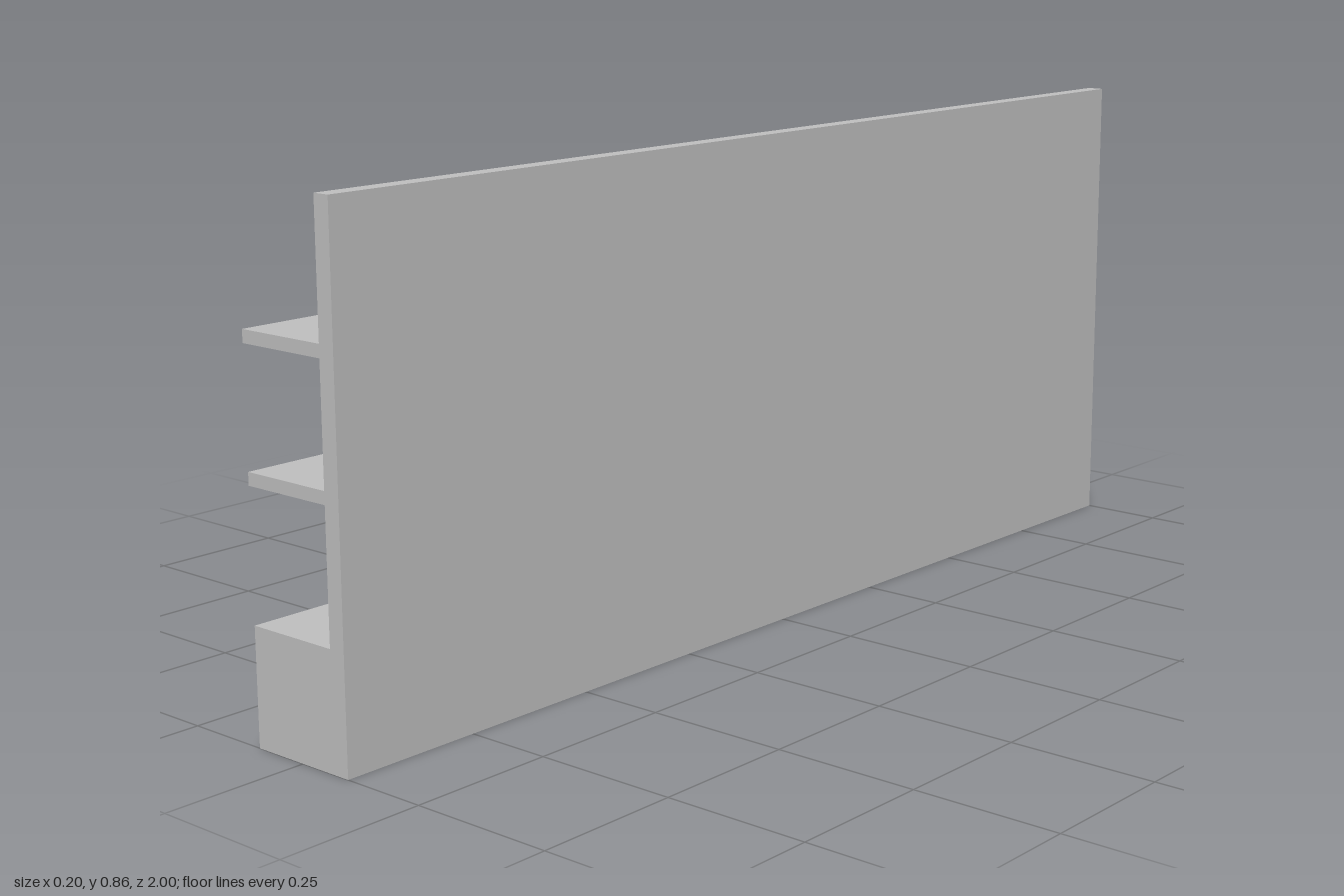
import * as THREE from 'three';

const LENGTH = 2;
const FRONT = -0.1;   // open edge of base and shelves
const PANEL = 0.07;   // inner face of the back panel
const BACK = 0.1;     // outer face of the back panel
const HEIGHT = 0.857;
const BASE_TOP = 0.193;
const SHELVES = [[0.408, 0.429], [0.622, 0.643]]; // underside, top

export function createModel() {
  const group = new THREE.Group();
  group.name = 'shelfUnit';

  const grey = new THREE.MeshStandardMaterial({ color: 0xc0c0c0 });
  grey.name = 'light grey';

  // Cross-section: base block, upright panel and two cantilevered shelves
  const profile = new THREE.Shape();
  profile.moveTo(FRONT, 0);
  profile.lineTo(BACK, 0);
  profile.lineTo(BACK, HEIGHT);
  profile.lineTo(PANEL, HEIGHT);
  for (const [under, top] of [...SHELVES].reverse()) {
    profile.lineTo(PANEL, top);
    profile.lineTo(FRONT, top);
    profile.lineTo(FRONT, under);
    profile.lineTo(PANEL, under);
  }
  profile.lineTo(PANEL, BASE_TOP);
  profile.lineTo(FRONT, BASE_TOP);
  profile.closePath();

  // One continuous body along z
  const geometry = new THREE.ExtrudeGeometry(profile, { depth: LENGTH, bevelEnabled: false });
  geometry.translate(0, 0, -LENGTH / 2);
  const body = new THREE.Mesh(geometry, grey);
  body.name = 'shelfBody';
  group.add(body);

  return group;
}
